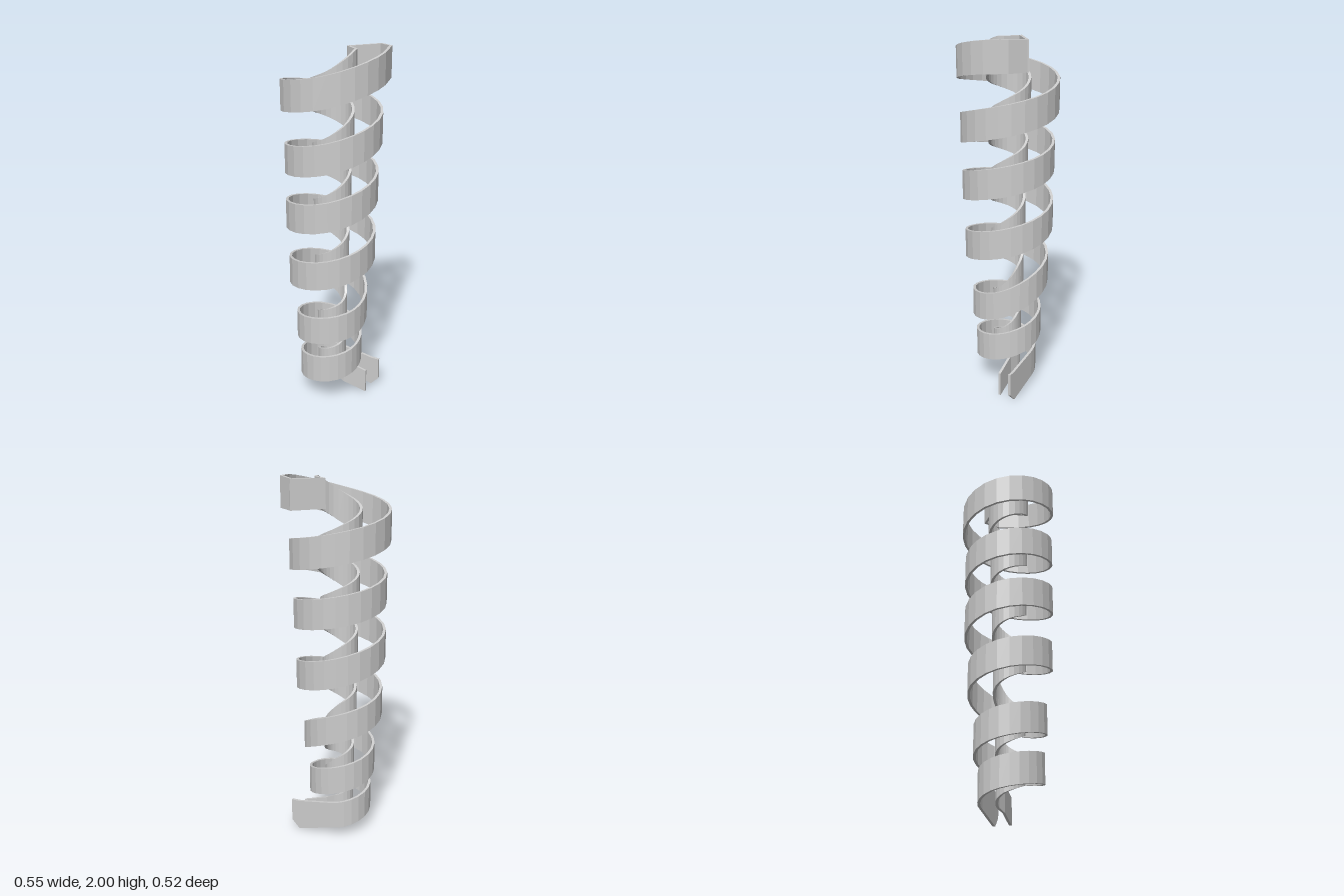
import * as THREE from 'three';

const THICK = 0.014;
const HEIGHT = 0.16;
const STEPS = 6; // facets per quarter turn

// Lower edge height and outer radii at every quarter turn (back, left, front, right, ...)
const RISE = [0.05, 0.105, 0.155, 0.205, 0.28, 0.35, 0.41, 0.47, 0.6, 0.69, 0.76, 0.845,
  0.93, 1.02, 1.09, 1.185, 1.26, 1.33, 1.4, 1.5, 1.58, 1.66, 1.735, 1.83];
const OUTER = [0.148, 0.185, 0.186, 0.16, 0.175, 0.205, 0.202, 0.184, 0.21, 0.242, 0.236, 0.225,
  0.236, 0.256, 0.246, 0.235, 0.24, 0.257, 0.247, 0.25, 0.26, 0.275, 0.258, 0.272];
const INNER = [0.06, 0.087, 0.085, 0.072, 0.064, 0.09, 0.087, 0.076, 0.078, 0.103, 0.095, 0.085,
  0.087, 0.108, 0.099, 0.093, 0.1, 0.115, 0.105, 0.105, 0.113, 0.127, 0.113, 0.117];

// One station of a band: plan position, lower edge, upper edge
const station = (x, z, low, high) => ({ x, z, low, high });

// Stations of a climbing spiral, smoothly interpolated between quarter turns
function spiral(radii) {
  const curve = new THREE.SplineCurve(radii.map((r, i) => new THREE.Vector2(r, RISE[i])));
  const quarters = radii.length - 1;
  const list = [];
  for (let i = 0; i <= quarters * STEPS; i++) {
    const p = curve.getPoint(i / (quarters * STEPS));
    const angle = (Math.PI / 2) * (1 + i / STEPS);
    const r = p.x - THICK / 2;
    list.push(station(r * Math.cos(angle), -r * Math.sin(angle), p.y, p.y + HEIGHT));
  }
  return list;
}

// Upright band of constant thickness following the stations, with mitred bends
function band(name, path, material) {
  const pos = [];
  const index = [];
  const dir = (a, b) => new THREE.Vector2(b.x - a.x, b.z - a.z).normalize();
  path.forEach((s, i) => {
    const before = dir(path[Math.max(i - 1, 0)], path[Math.max(i, 1)]);
    const after = i < path.length - 1 ? dir(s, path[i + 1]) : before;
    const t = before.clone().add(after).normalize();
    const half = THICK / 2 / Math.max(t.dot(after), 0.5);
    const nx = -t.y * half;
    const nz = t.x * half;
    pos.push(s.x + nx, s.low, s.z + nz, s.x + nx, s.high, s.z + nz,
      s.x - nx, s.high, s.z - nz, s.x - nx, s.low, s.z - nz);
    if (i === path.length - 1) return;
    for (let k = 0; k < 4; k++) {
      const a = i * 4 + k;
      const b = i * 4 + ((k + 1) % 4);
      index.push(a, a + 4, b + 4, a, b + 4, b);
    }
  });
  const e = (path.length - 1) * 4;
  index.push(0, 1, 2, 0, 2, 3, e, e + 2, e + 1, e, e + 3, e + 2);
  const geometry = new THREE.BufferGeometry();
  geometry.setAttribute('position', new THREE.Float32BufferAttribute(pos, 3));
  geometry.setIndex(index);
  geometry.computeVertexNormals();
  const mesh = new THREE.Mesh(geometry, material);
  mesh.name = name;
  return mesh;
}

export function createModel() {
  const group = new THREE.Group();
  group.name = 'spiralStairStringers';
  const material = new THREE.MeshStandardMaterial({ color: 0xcccccc, flatShading: true });

  // Outer stringer: straight foot with a cut corner, spiral, straight run at the landing
  group.add(band('outerStringer', [
    station(0.235, -0.121, 0.05, 0.18),
    station(0.19, -0.125, 0, 0.18),
    ...spiral(OUTER),
    station(0.252, -0.126, 1.84, 2),
    station(0.18, -0.188, 1.84, 1.995),
  ], material));

  // Inner stringer: straight foot, tight spiral, short straight run at the landing
  group.add(band('innerStringer', [
    station(0.187, -0.037, 0, 0.14),
    station(0.05, -0.037, 0.035, 0.18),
    ...spiral(INNER),
    station(0.106, -0.03, 1.84, 1.99),
    station(0.043, -0.089, 1.84, 1.99),
  ], material));

  // Cross panel closing the top landing
  group.add(band('landingPanel', [
    station(0.186, -0.192, 1.84, 1.995),
    station(0.038, -0.086, 1.84, 1.99),
  ], material));

  return group;
}
